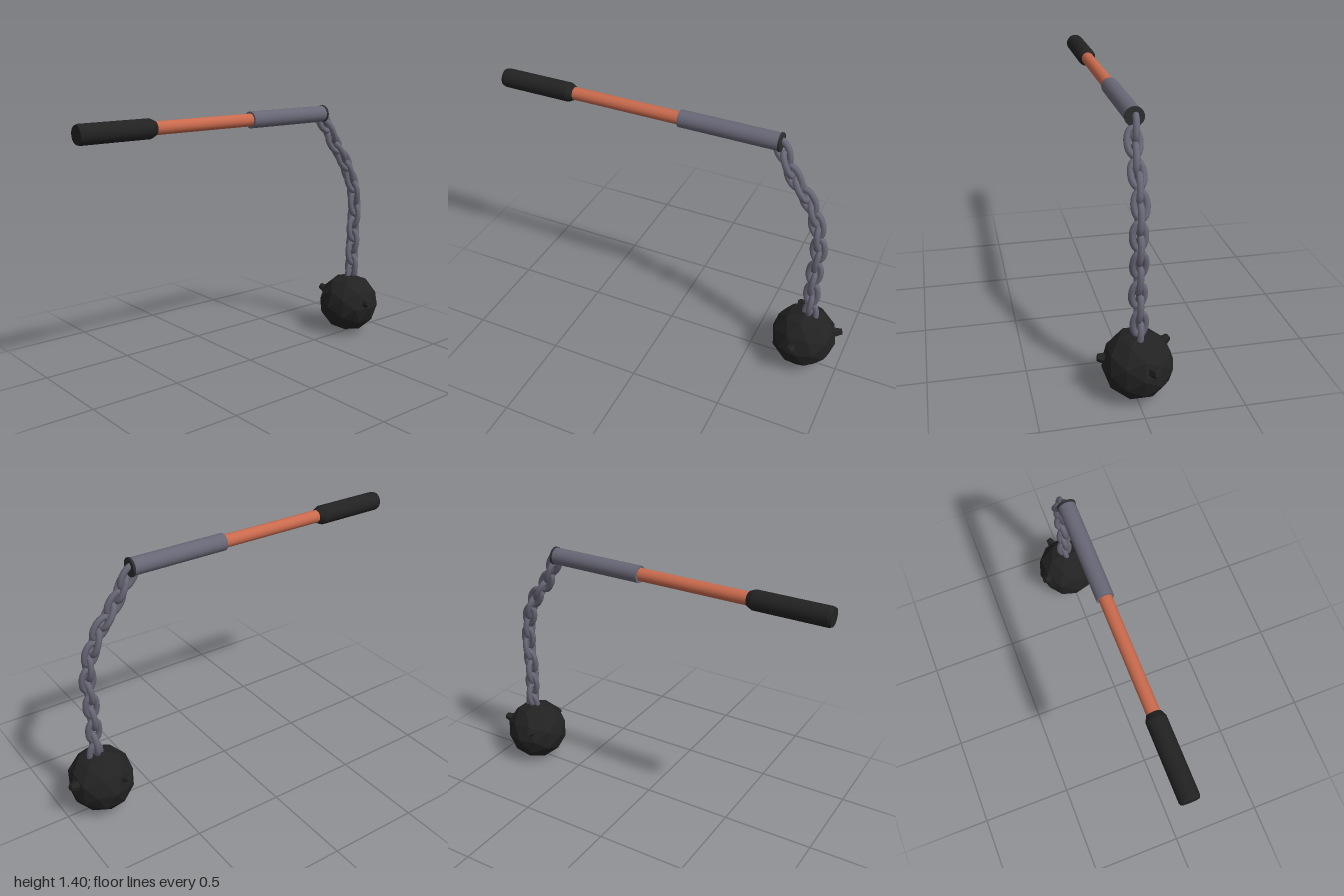
import * as THREE from 'three';

const material = (name, color) => {
  const m = new THREE.MeshStandardMaterial({ color });
  m.name = name;
  return m;
};

export function createModel() {
  const group = new THREE.Group();
  const steel = material('steel', 0x686776);
  const wood = material('wood', 0xc96a4d);
  const black = material('black', 0x222222);
  const darkSteel = material('darkSteel', 0x2c2f31);

  const add = (name, geometry, mat, parent = group) => {
    const mesh = new THREE.Mesh(geometry, mat);
    mesh.name = name;
    parent.add(mesh);
    return mesh;
  };

  // Handle: round sections along z, each from z0 (radius r0) to z1 (radius r1)
  const handle = new THREE.Group();
  handle.name = 'handle';
  handle.position.set(-0.035, 1.345, 0);
  group.add(handle);
  const section = (name, mat, z0, r0, z1, r1 = r0) => {
    const g = new THREE.CylinderGeometry(r1, r0, z1 - z0, 24);
    g.rotateX(Math.PI / 2);
    g.translate(0, 0, (z0 + z1) / 2);
    add(name, g, mat, handle);
  };
  section('gripTaper', black, 0.575, 0.037, 0.605, 0.051);
  section('grip', black, 0.605, 0.051, 0.985);
  section('gripEnd', black, 0.985, 0.051, 1, 0.046);
  section('rod', wood, -0.05, 0.034, 0.6);
  section('sleeve', steel, -0.56, 0.045, -0.03);
  section('sleeveCap', darkSteel, -0.568, 0.048, -0.556);

  // Chain: link centres as x, y, z, alternating between two planes
  const centres = [
    [-0.035, 1.3, -0.575], [-0.02, 1.24, -0.61], [-0.02, 1.176, -0.647],
    [-0.02, 1.114, -0.69], [-0.018, 1.064, -0.733], [-0.018, 0.993, -0.767],
    [-0.01, 0.936, -0.792], [-0.003, 0.86, -0.808], [-0.004, 0.791, -0.818],
    [-0.004, 0.72, -0.818], [-0.005, 0.636, -0.813], [-0.002, 0.561, -0.812],
    [-0.008, 0.487, -0.813], [-0.01, 0.406, -0.816], [-0.01, 0.345, -0.818],
  ].map((p) => new THREE.Vector3(...p));

  // One oval link lying in the xy plane, long axis y
  const oval = [];
  for (let i = 0; i < 20; i++) {
    const a = (i / 20) * Math.PI * 2;
    oval.push(new THREE.Vector3(0.031 * Math.cos(a), 0.063 * Math.sin(a), 0));
  }
  const linkGeometry = new THREE.TubeGeometry(
    new THREE.CatmullRomCurve3(oval, true), 28, 0.0165, 8, true);

  const chain = new THREE.Group();
  chain.name = 'chain';
  group.add(chain);
  centres.forEach((centre, i) => {
    const above = centres[Math.max(i - 1, 0)];
    const below = centres[Math.min(i + 1, centres.length - 1)];
    const link = add('chainLink', linkGeometry, steel, chain);
    link.position.copy(centre);
    // Follow the hanging curve, then turn every other link and lean it a little
    link.rotation.x = Math.atan2(above.z - below.z, above.y - below.y);
    if (i % 2 === 0) link.rotateY(Math.PI / 2);
    link.rotateX(-0.1);
  });

  // Faceted iron ball
  const ball = new THREE.Group();
  ball.name = 'ball';
  ball.position.set(-0.01, 0.178, -0.797);
  group.add(ball);
  const ballGeometry = new THREE.IcosahedronGeometry(0.178, 1);
  ballGeometry.computeVertexNormals();
  add('ballBody', ballGeometry, black, ball);

  // Blunt studs, given by the position of their tips
  const up = new THREE.Vector3(0, 1, 0);
  for (const tip of [[0.194, 0.037, 0.027], [-0.172, 0.077, 0.077], [-0.05, 0.055, -0.196]]) {
    const end = new THREE.Vector3(...tip);
    const g = new THREE.CylinderGeometry(0.018, 0.034, 0.06, 6).toNonIndexed();
    g.computeVertexNormals();
    g.translate(0, end.length() - 0.03, 0);
    const stud = add('stud', g, black, ball);
    stud.quaternion.setFromUnitVectors(up, end.normalize());
  }
  return group;
}
